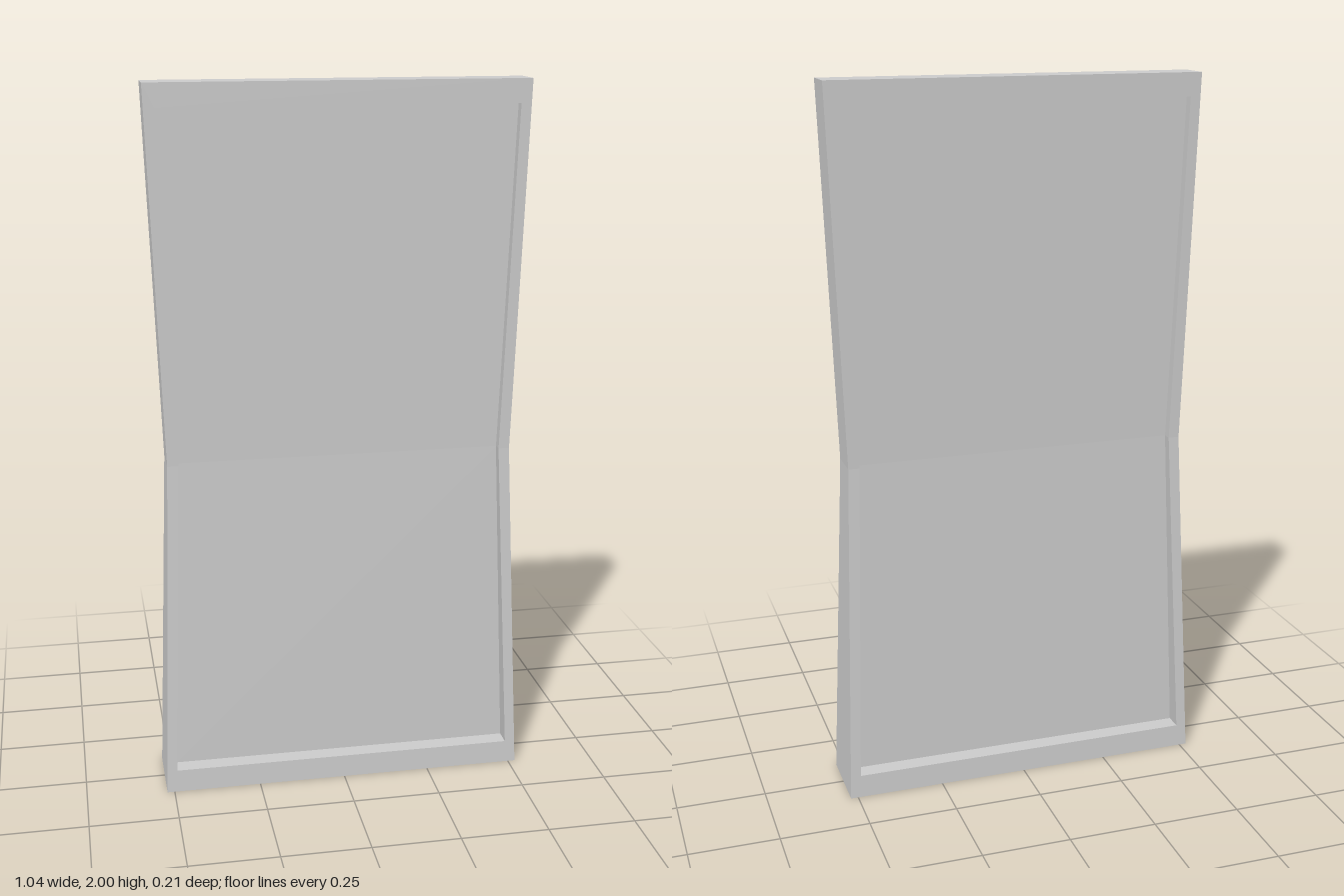
import * as THREE from 'three';

const WAIST = 0.97;
// half depth of the body: straight above the waist, flaring towards the foot
const halfDepth = (y) => (y >= WAIST ? 0.052 : 0.103 - (0.051 * y) / WAIST);

// counter-clockwise hourglass outline, [x, y]
const outline = (wide, narrow, y0, y1) => [
  [-wide, y0], [wide, y0], [narrow, WAIST], [wide, y1], [-wide, y1], [-narrow, WAIST],
];
const OUTER = outline(0.521, 0.487, 0, 2);
const INNER = outline(0.49, 0.456, 0.065, 1.935);

// lift an outline onto the face, side = 1 front / -1 back, k = share of the depth
const lift = (pts, side, k = 1) => pts.map(([x, y]) => [x, y, side * k * halfDepth(y)]);

const quadMesh = (name, quads, material) => {
  const pos = [];
  for (const [a, b, c, d] of quads) pos.push(...a, ...b, ...c, ...a, ...c, ...d);
  const geo = new THREE.BufferGeometry();
  geo.setAttribute('position', new THREE.Float32BufferAttribute(pos, 3));
  geo.computeVertexNormals();
  const mesh = new THREE.Mesh(geo, material);
  mesh.name = name;
  return mesh;
};

// strip of quads between two closed loops
const band = (a, b) => a.map((p, i) => {
  const j = (i + 1) % a.length;
  return [p, a[j], b[j], b[i]];
});

export function createModel() {
  const group = new THREE.Group();
  group.name = 'hourglassPanel';
  const material = new THREE.MeshStandardMaterial({
    color: 0xcccccc, flatShading: true, side: THREE.DoubleSide,
  });

  for (const [label, side] of [['front', 1], ['back', -1]]) {
    const orient = (quads) => (side > 0 ? quads : quads.map((q) => [...q].reverse()));
    const outer = lift(OUTER, side);
    const inner = lift(INNER, side);
    const deep = lift(INNER, side, 0.5);
    // frame border, recess walls and the sunken panel
    group.add(quadMesh(label + 'Border', orient(band(outer, inner)), material));
    group.add(quadMesh(label + 'RecessWalls', orient(band(inner, deep)), material));
    group.add(quadMesh(label + 'Panel', orient([
      [deep[0], deep[1], deep[2], deep[5]],
      [deep[5], deep[2], deep[3], deep[4]],
    ]), material));
  }

  // sides and top; the underside (first segment) stays open
  const shell = band(lift(OUTER, -1), lift(OUTER, 1)).slice(1);
  group.add(quadMesh('sidesAndTop', shell, material));
  return group;
}
